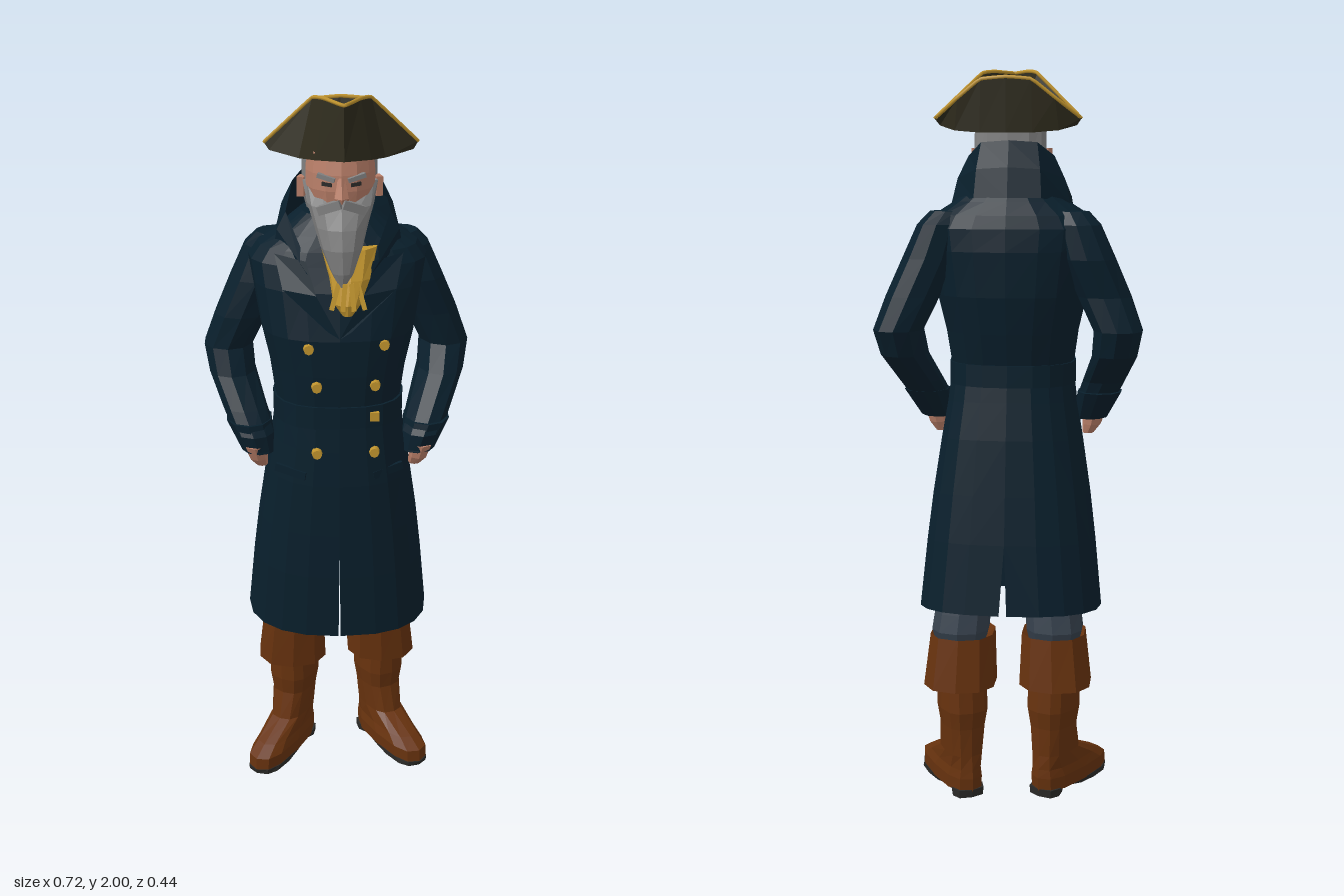
import * as THREE from 'three';

const mat = (name, color, side = THREE.FrontSide) => {
  const m = new THREE.MeshStandardMaterial({ color, side });
  m.name = name;
  return m;
};
const V = (x, y, z) => new THREE.Vector3(x, y, z);

// Horizontal squared-off ring, starting at the front and turning towards +x
function ring([y, cx, hw, zf, zb], n = 12, p = 0.85) {
  const mid = (zf + zb) / 2, rz = (zf - zb) / 2, pts = [];
  const pw = v => Math.sign(v) * Math.pow(Math.abs(v), p);
  for (let i = 0; i < n; i++) {
    const a = (i / n) * Math.PI * 2;
    pts.push(V(cx + hw * pw(Math.sin(a)), y, mid + rz * pw(Math.cos(a))));
  }
  return pts;
}

// Faceted skin through rows of points, ordered bottom to top
function loft(rows, closed = true) {
  const pos = [], tri = (...p) => p.forEach(v => pos.push(v.x, v.y, v.z));
  const n = rows[0].length;
  for (let i = 0; i + 1 < rows.length; i++) {
    for (let j = 0; j < (closed ? n : n - 1); j++) {
      const k = (j + 1) % n, a = rows[i], b = rows[i + 1];
      tri(a[j], a[k], b[k]);
      tri(a[j], b[k], b[j]);
    }
  }
  if (closed) {
    [rows[0], rows[rows.length - 1]].forEach((r, top) => {
      const c = r.reduce((s, v) => s.add(v), V(0, 0, 0)).divideScalar(n);
      for (let j = 0; j < n; j++) {
        const k = (j + 1) % n;
        if (top) tri(c, r[j], r[k]); else tri(c, r[k], r[j]);
      }
    });
  }
  const g = new THREE.BufferGeometry();
  g.setAttribute('position', new THREE.Float32BufferAttribute(pos, 3));
  g.computeVertexNormals();
  return g;
}

export function createModel() {
  const root = new THREE.Group();
  root.name = 'seaCaptain';
  const navy = mat('navy coat', 0x091f2c, THREE.DoubleSide);
  const brown = mat('brown leather', 0x67320e);
  const olive = mat('dark felt', 0x2d2a1c, THREE.DoubleSide);
  const gold = mat('gold', 0xc2952e);
  const grey = mat('grey hair', 0x828282);
  const skin = mat('skin', 0xb87e68);
  const slate = mat('slate cloth', 0x36414d);
  const dark = mat('dark sole', 0x2b2a28);

  const add = (name, geo, m, parent = root) => {
    const mesh = new THREE.Mesh(geo, m);
    mesh.name = name;
    parent.add(mesh);
    return mesh;
  };
  const rings = (name, list, m, n, p, parent) => add(name, loft(list.map(r => ring(r, n, p))), m, parent);
  const box = (name, m, size, at, rot = [0, 0, 0]) => {
    const b = add(name, new THREE.BoxGeometry(...size).toNonIndexed(), m);
    b.position.set(...at);
    b.rotation.set(...rot);
  };

  // Coat bodice and belt
  rings('coatBody', [
    [1.15, 0, 0.172, 0.19, -0.12], [1.2, 0, 0.168, 0.19, -0.115], [1.3, 0, 0.182, 0.2, -0.14],
    [1.4, 0, 0.205, 0.205, -0.16], [1.52, 0, 0.225, 0.178, -0.165], [1.58, 0, 0.235, 0.15, -0.158],
    [1.615, 0, 0.21, 0.135, -0.145], [1.65, 0, 0.155, 0.115, -0.125], [1.7, 0, 0.095, 0.09, -0.095],
  ], navy, 20, 0.82);
  rings('belt', [[1.155, 0, 0.175, 0.197, -0.124], [1.215, 0, 0.175, 0.197, -0.122]], navy, 20, 0.8);

  // Skirt in two halves, split in front and vented behind, dipping slightly to the front
  const skirt = [[0.53, 0.255, 0.176, -0.218, 0.004, 0.02], [0.72, 0.236, 0.187, -0.192, 0.001, 0],
    [0.85, 0.22, 0.191, -0.172, 0, 0], [1.0, 0.197, 0.195, -0.15, 0, 0],
    [1.1, 0.18, 0.193, -0.13, 0, 0], [1.18, 0.17, 0.19, -0.115, 0, 0]];
  for (const s of [1, -1]) {
    const p = s > 0 ? 0.78 : 0.86;
    const rows = skirt.map(([y, hw, zf, zb, gf, gb]) => Array.from({ length: 11 }, (_, k) => {
      const a = gf + (Math.PI - gf - gb) * k / 10, c = Math.cos(a);
      const z = (zf + zb) / 2 + (zf - zb) / 2 * Math.sign(c) * Math.pow(Math.abs(c), p);
      return V(s * hw * Math.pow(Math.max(0, Math.sin(a)), p), y - 0.015 * c, z);
    }));
    add('coatSkirt', loft(rows, false), navy);
  }

  // Standing collar
  const full = h => [...h.slice(1).reverse().map(([x, y, z]) => V(-x, y, z)), ...h.map(q => V(...q))];
  add('collar', loft([
    full([[0, 1.66, -0.12], [0.09, 1.66, -0.11], [0.16, 1.645, -0.03], [0.165, 1.62, 0.06], [0.08, 1.57, 0.17]]),
    full([[0, 1.74, -0.1], [0.085, 1.735, -0.092], [0.145, 1.71, -0.02], [0.158, 1.66, 0.065], [0.1, 1.6, 0.165]]),
    full([[0, 1.81, -0.075], [0.075, 1.805, -0.065], [0.116, 1.77, -0.01], [0.135, 1.705, 0.06], [0.098, 1.635, 0.145]]),
  ], false), navy);

  for (const s of [1, -1]) {
    // Lapel, pocket flap
    add('lapel', loft([[[0, 1.41, 0.21], [0.03, 1.43, 0.212]], [[0.06, 1.52, 0.192], [0.145, 1.53, 0.168]],
      [[0.085, 1.6, 0.155], [0.165, 1.61, 0.115]]].map(r => r.map(([x, y, z]) => V(s * x, y, z))), false), navy);
    box('pocketFlap', navy, [0.09, 0.022, 0.01], [s * 0.13, 1.02, 0.16], [0, s * 0.45, s * 0.15]);

    // Bent sleeve (left elbow is set further back), turned cuff and hand
    const e = s > 0 ? 0 : 0.035;
    const side = list => list.map(([y, x, ...r]) => [y, s * x, ...r]);
    rings('sleeve', side([
      [1.05, 0.213, 0.045, 0.12, 0.015], [1.1, 0.228, 0.056, 0.125, -0.015], [1.16, 0.253, 0.06, 0.085, -0.08 + e],
      [1.24, 0.286, 0.064, 0.03, -0.17 + e], [1.31, 0.296, 0.068, -0.015 + e / 2, -0.195 + e],
      [1.4, 0.258, 0.074, -0.005 + e / 2, -0.175 + e], [1.5, 0.215, 0.074, 0.015, -0.155],
      [1.59, 0.185, 0.063, 0.005, -0.14], [1.625, 0.165, 0.05, -0.01, -0.11],
    ]), navy, 10, 0.97);
    rings('cuff', side([[1.052, 0.216, 0.047, 0.122, 0.01], [1.13, 0.242, 0.063, 0.115, -0.05]]), navy, 10, 0.97);
    rings('hand', side([[1.005, 0.208, 0.016, 0.09, 0.05], [1.03, 0.218, 0.026, 0.113, 0.038],
      [1.07, 0.226, 0.032, 0.127, 0.03]]), skin, 8);

    // Trouser leg and boot
    const dz = s > 0 ? -0.112 : -0.085;
    rings('trouserLeg', [[0.44, s * 0.13, 0.07, dz + 0.075, dz - 0.07], [0.48, s * 0.13, 0.08, dz + 0.085, dz - 0.08],
      [0.53, s * 0.125, 0.078, dz + 0.095, dz - 0.07], [0.62, s * 0.11, 0.07, dz + 0.1, dz - 0.05]], slate, 10);
    rings('bootCuff', [[0.35, s * 0.13, 0.06, dz + 0.06, dz - 0.06], [0.32, s * 0.132, 0.102, dz + 0.11, dz - 0.105],
      [0.465, s * 0.126, 0.09, dz + 0.12, dz - 0.085], [0.45, s * 0.126, 0.07, dz + 0.08, dz - 0.07]], brown, 10);
    const boot = new THREE.Group();
    boot.name = 'boot';
    boot.position.set(s * 0.128, 0, dz);
    boot.rotation.y = s * 0.54;
    root.add(boot);
    rings('bootUpper', [[0.018, 0, 0.055, 0.228, -0.072], [0.055, 0, 0.056, 0.225, -0.075], [0.08, 0, 0.05, 0.18, -0.072],
      [0.12, 0, 0.05, 0.09, -0.068], [0.2, 0, 0.056, 0.068, -0.07], [0.25, 0, 0.064, 0.075, -0.078],
      [0.37, 0, 0.062, 0.075, -0.07]], brown, 12, 0.75, boot);
    rings('sole', [[0.005, 0, 0.053, 0.225, 0.03], [0.02, 0, 0.055, 0.23, -0.04]], dark, 12, 0.75, boot);
    rings('heel', [[0, 0, 0.045, 0.0, -0.07], [0.022, 0, 0.047, 0.01, -0.072]], dark, 8, 0.7, boot);

    // Ear, brow, eye and moustache
    box('ear', skin, [0.018, 0.05, 0.032], [s * 0.098 + 0.005, 1.765, 0.03], [0, s * 0.25, 0]);
    box('eyebrow', grey, [0.046, 0.011, 0.014], [s * 0.038 + 0.005, 1.815, 0.158], [0, s * 0.3, s * 0.25]);
    box('eye', dark, [0.026, 0.009, 0.008], [s * 0.036 + 0.005, 1.798, 0.157], [0, s * 0.3, s * 0.1]);
    box('moustache', grey, [0.062, 0.022, 0.03], [s * 0.028 + 0.005, 1.745, 0.174], [0, s * 0.35, -s * 0.35]);
  }

  // Head, hair, nose and beard
  rings('head', [[1.6, 0, 0.06, 0.08, -0.05], [1.68, 0.005, 0.065, 0.13, -0.045], [1.73, 0.005, 0.08, 0.16, -0.045],
    [1.78, 0.005, 0.09, 0.168, -0.045], [1.82, 0.005, 0.09, 0.166, -0.045], [1.87, 0.005, 0.085, 0.155, -0.04]], skin, 14, 1);
  rings('hair', [[1.68, 0.005, 0.08, 0.03, -0.05], [1.75, 0.005, 0.098, 0.065, -0.055],
    [1.86, 0.005, 0.097, 0.085, -0.053]], grey, 12, 0.8);
  rings('nose', [[1.754, 0.005, 0.02, 0.188, 0.13], [1.767, 0.005, 0.02, 0.195, 0.13],
    [1.815, 0.005, 0.01, 0.17, 0.13]], skin, 6);
  rings('beard', [[1.54, 0.008, 0.008, 0.2, 0.175], [1.58, 0.008, 0.03, 0.212, 0.14], [1.64, 0.006, 0.054, 0.215, 0.09],
    [1.69, 0.005, 0.069, 0.204, 0.05], [1.74, 0.005, 0.085, 0.178, 0.03], [1.79, 0.005, 0.096, 0.105, 0.04]], grey, 12, 0.95);

  // Ruffled neckcloth
  rings('neckcloth', [[1.47, 0.02, 0.016, 0.21, 0.15], [1.5, 0.02, 0.038, 0.218, 0.14],
    [1.56, 0.028, 0.056, 0.2, 0.1], [1.63, 0.025, 0.08, 0.17, 0]], gold, 12, 0.95);
  for (let i = 0; i < 4; i++) {
    box('ruffle', gold, [0.012, 0.07, 0.014], [-0.012 + i * 0.022, 1.52, 0.209 - Math.abs(i - 1.5) * 0.008], [-0.2, 0, (1.5 - i) * -0.18]);
  }

  // Buttons and buckle
  for (const [x, y, z] of [[-0.08, 1.38, 0.192], [-0.06, 1.275, 0.194], [0.092, 1.275, 0.182],
    [-0.06, 1.085, 0.188], [0.092, 1.085, 0.18], [0.115, 1.385, 0.178]]) {
    const b = add('button', new THREE.CylinderGeometry(0.013, 0.016, 0.03, 8).toNonIndexed(), gold);
    b.position.set(x, y, z);
    b.rotation.x = Math.PI / 2;
  }
  box('buckle', gold, [0.024, 0.024, 0.02], [0.092, 1.187, 0.181]);

  // Three-cornered hat: turned-up brim, sunken inside and crown
  const loop = h => [...h.map(([x, y, z]) => V(x + 0.01, y, z)),
    ...h.slice(1, -1).reverse().map(([x, y, z]) => V(0.01 - x, y, z))];
  const rim = loop([[0, 1.995, 0.18], [0.045, 1.995, 0.085], [0.075, 1.988, 0.035], [0.198, 1.868, -0.01],
    [0.13, 1.92, -0.05], [0.068, 1.968, -0.06], [0, 1.974, -0.064]]);
  add('hat', loft([
    loop([[0, 1.866, 0.215], [0.07, 1.852, 0.13], [0.11, 1.843, 0.065], [0.185, 1.85, 0],
      [0.14, 1.836, -0.04], [0.07, 1.83, -0.055], [0, 1.83, -0.06]]),
    rim,
    loop([[0, 1.94, 0.13], [0.03, 1.925, 0.065], [0.05, 1.92, 0.03], [0.14, 1.88, -0.013],
      [0.09, 1.905, -0.03], [0.05, 1.915, -0.04], [0, 1.915, -0.045]]),
    loop([[0, 1.96, 0.07], [0.02, 1.96, 0.045], [0.035, 1.955, 0.02], [0.06, 1.945, -0.003],
      [0.05, 1.948, -0.015], [0.03, 1.955, -0.022], [0, 1.956, -0.025]]),
  ]), olive);
  add('hatTrim', new THREE.TubeGeometry(new THREE.CatmullRomCurve3(rim, true, 'catmullrom', 0.1), 72, 0.005, 5, true), gold);

  return root;
}
